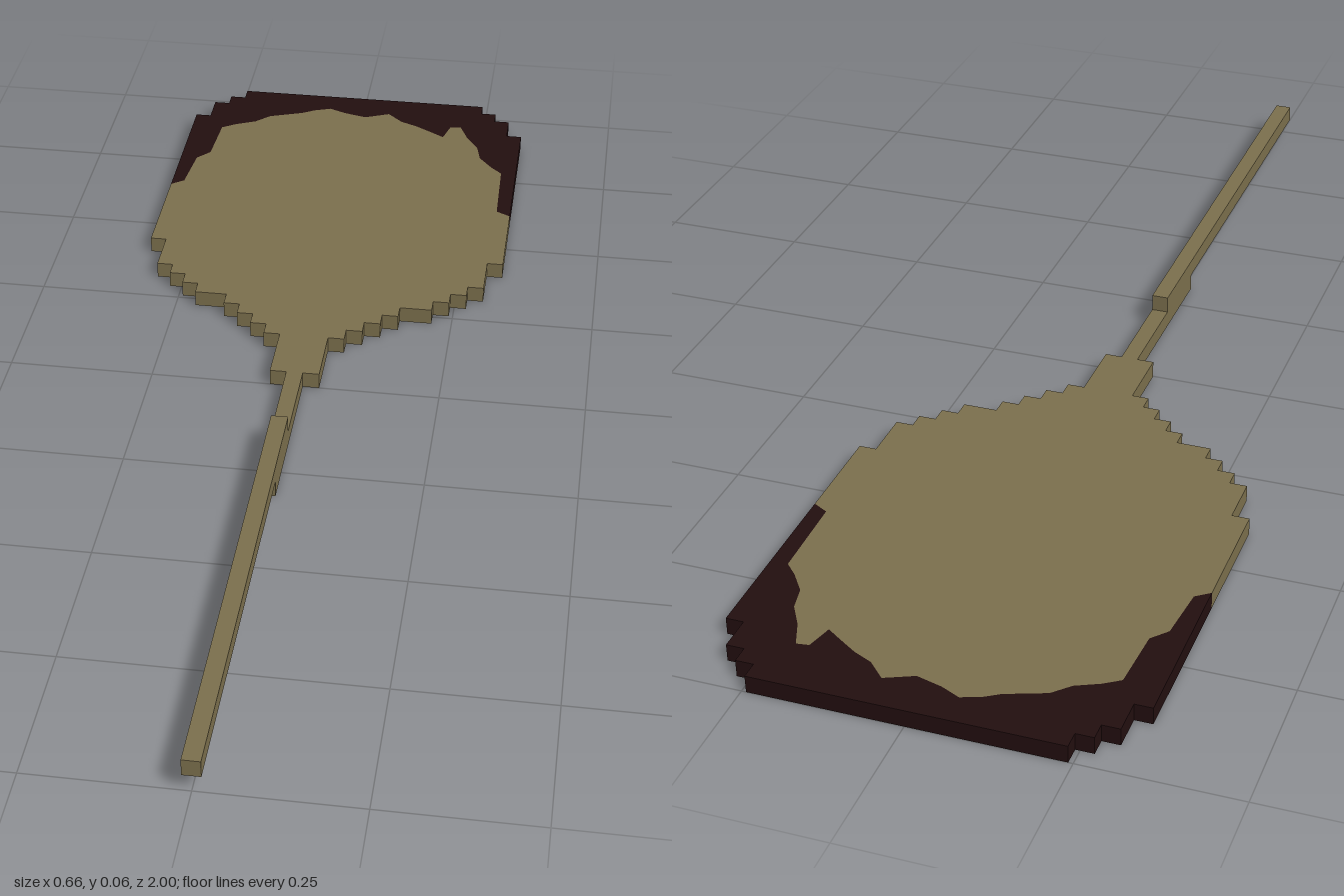
import * as THREE from 'three';

const U = 2 / 70; // one block of the stepped outline

export function createModel() {
  const model = new THREE.Group();
  const tan = new THREE.MeshStandardMaterial({ name: 'tan', color: 0x7a6e4c });
  const dark = new THREE.MeshStandardMaterial({ name: 'darkBrown', color: 0x220e0f });

  const add = (name, geometry, material) => {
    const mesh = new THREE.Mesh(geometry, material);
    mesh.name = name;
    model.add(mesh);
  };

  // Flat slab one block thick; points are [x, distance to the back] in blocks
  const slab = (name, points, material) => {
    const shape = new THREE.Shape(points.map(([x, b]) => new THREE.Vector2(x * U, b * U)));
    const geometry = new THREE.ExtrudeGeometry(shape, { depth: U, bevelEnabled: false });
    add(name, geometry.rotateX(-Math.PI / 2), material);
  };

  // Turns [half width, start, end] rows into the stepped right-hand edge
  const steps = (rows) => rows.flatMap(([w, a, b]) => [[w, a], [w, b]]);
  const mirror = (points) => points.map(([x, b]) => [-x, b]).reverse();

  const frontEdge = steps([
    [1.5, 0, 4], [2.5, 4, 5], [3.5, 5, 6], [4.5, 6, 7], [5.5, 7, 8],
    [7.5, 8, 9], [8.5, 9, 10], [9.5, 10, 11], [10.5, 11, 14],
  ]).concat([[11.5, 14]]);
  const backEdge = steps([[11.5, 31, 31], [10.5, 31, 33], [9.5, 33, 34], [8.5, 34, 35]]).slice(1);

  // Ragged line between the tan blade and its dark rim, from +x to -x
  const border = [
    [11.5, 20.1], [10.6, 20.6], [10.5, 25.7], [9.8, 26.4], [8.9, 27.6], [8.6, 29],
    [7.8, 30.3], [7.2, 31.8], [6.5, 31.7], [6.1, 30.2], [5.2, 30.8], [4.1, 31.5],
    [3, 32], [2, 33], [0.4, 32.3], [-1.1, 32.7], [-2.2, 33.2], [-3.3, 32.8],
    [-4.1, 32.3], [-5.2, 31.9], [-6.3, 31.5], [-7.2, 30.6], [-8.5, 30], [-9.4, 29.4],
    [-9.6, 25.8], [-10.4, 24.9], [-10.7, 21.7], [-11.5, 21.1],
  ];

  slab('blade', [...frontEdge, ...border, ...mirror(frontEdge)], tan);
  slab('bladeRim', [...backEdge, ...mirror(backEdge), ...border.slice().reverse()], dark);

  // Square rods: the stem continues the blade, the handle lies on top of it
  const rod = (name, z0, z1, level) => {
    const geometry = new THREE.BoxGeometry(U, U, (z1 - z0) * U);
    add(name, geometry.translate(0, (level + 0.5) * U, ((z0 + z1) / 2) * U), tan);
  };
  rod('stem', 0, 11, 0);
  rod('handle', 6, 35, 1);

  return model;
}
